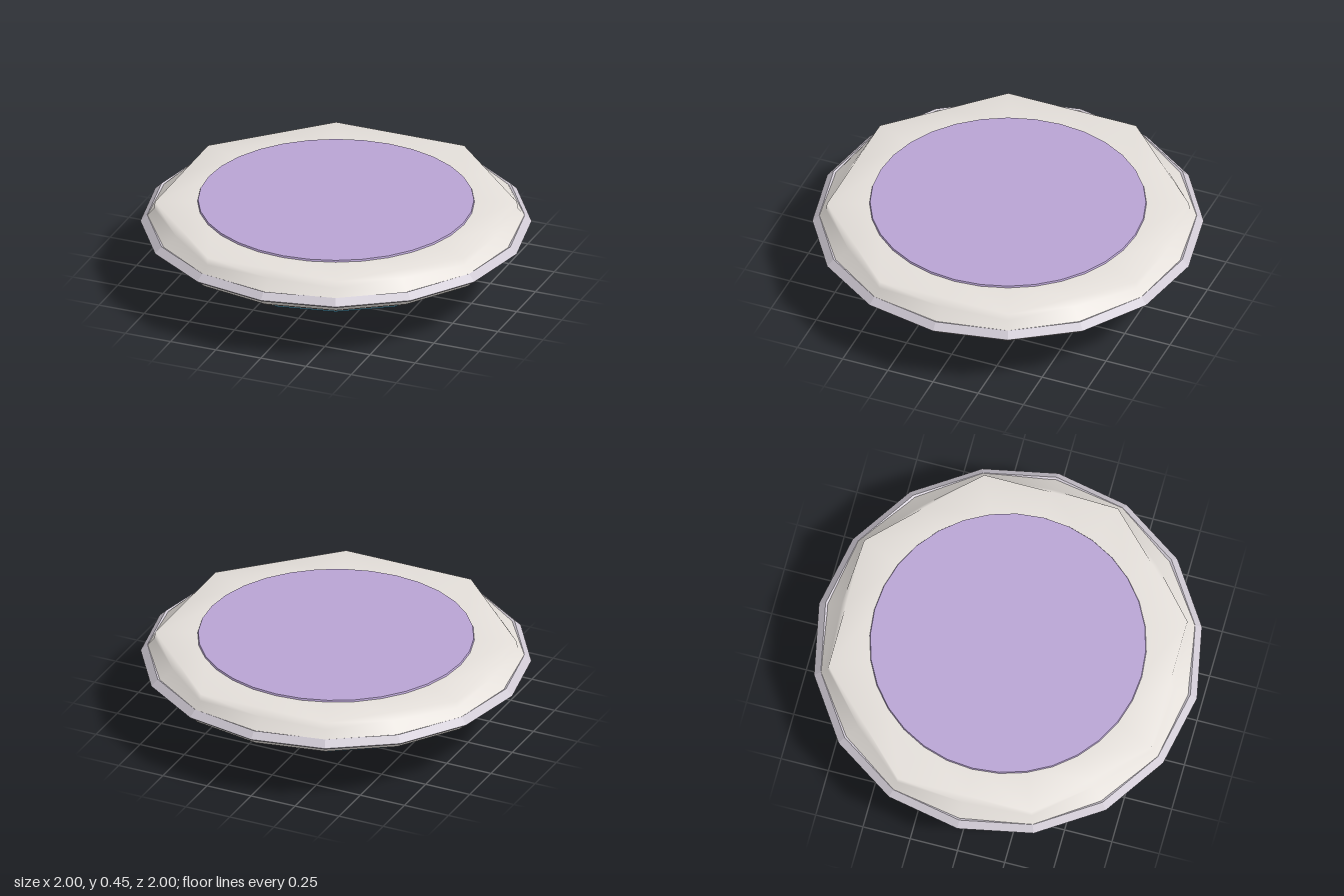
import * as THREE from 'three';
import { mergeVertices } from 'three/addons/utils/BufferGeometryUtils.js';

const SIDES = 16;

// Lathe from [radius, height, chord] rows; chord 1 flattens the row into an octagon.
function turned(name, rows, color, smooth = true) {
  const points = rows.map(([r, y]) => new THREE.Vector2(r, y));
  let geo = new THREE.LatheGeometry(points, SIDES);
  const pos = geo.attributes.position;
  const octagon = Math.cos(Math.PI / 8);
  for (let i = 0; i < pos.count; i++) {
    const spoke = Math.floor(i / rows.length);
    const chord = rows[i % rows.length][2] || 0;
    if (spoke % 2 === 0 && chord) {
      const k = 1 - chord * (1 - octagon);
      pos.setX(i, pos.getX(i) * k);
      pos.setZ(i, pos.getZ(i) * k);
    }
  }
  geo.deleteAttribute('uv');
  geo.deleteAttribute('normal');
  geo = mergeVertices(geo, 1e-4);
  geo.computeVertexNormals();
  const mesh = new THREE.Mesh(geo, new THREE.MeshStandardMaterial({ color, flatShading: !smooth }));
  mesh.name = name;
  return mesh;
}

// Thin closed disc
function disc(name, radius, y0, y1, color) {
  const geo = new THREE.CylinderGeometry(radius - 0.005, radius, y1 - y0, SIDES * 2);
  const mesh = new THREE.Mesh(geo, new THREE.MeshStandardMaterial({ color }));
  mesh.position.y = (y0 + y1) / 2;
  mesh.name = name;
  return mesh;
}

export function createModel() {
  const model = new THREE.Group();
  model.name = 'hoveringDisc';

  // Upper shell with an octagonal shoulder
  model.add(turned('upperShell', [
    [0.975, 0.33], [0.965, 0.36, 0.2], [0.93, 0.4, 0.7], [0.925, 0.437, 1], [0.7, 0.44], [0, 0.44],
  ], 0xe4dfda));

  // Lower shell tapering in to the base
  model.add(turned('lowerShell', [
    [0, 0.245], [0.8, 0.245], [0.885, 0.25], [0.95, 0.285], [0.975, 0.33],
  ], 0xe4dfda));

  // Thin band round the widest part
  model.add(turned('rimBand', [
    [0.94, 0.31], [0.99, 0.318], [1, 0.328], [0.965, 0.362], [0.94, 0.35],
  ], 0xcfc9d3, false));

  // Glowing ring under the shell
  model.add(turned('lowerRing', [
    [0.74, 0.25], [0.74, 0.2], [0.795, 0.2], [0.825, 0.225], [0.795, 0.25], [0.74, 0.25],
  ], 0x5bb5d8, false));

  model.add(disc('topPanel', 0.71, 0.435, 0.449, 0xb9a4d4));
  model.add(disc('bottomPanel', 0.745, 0.199, 0.245, 0x853f75));
  model.add(disc('floatingPad', 0.345, 0, 0.013, 0x853f75));

  return model;
}
